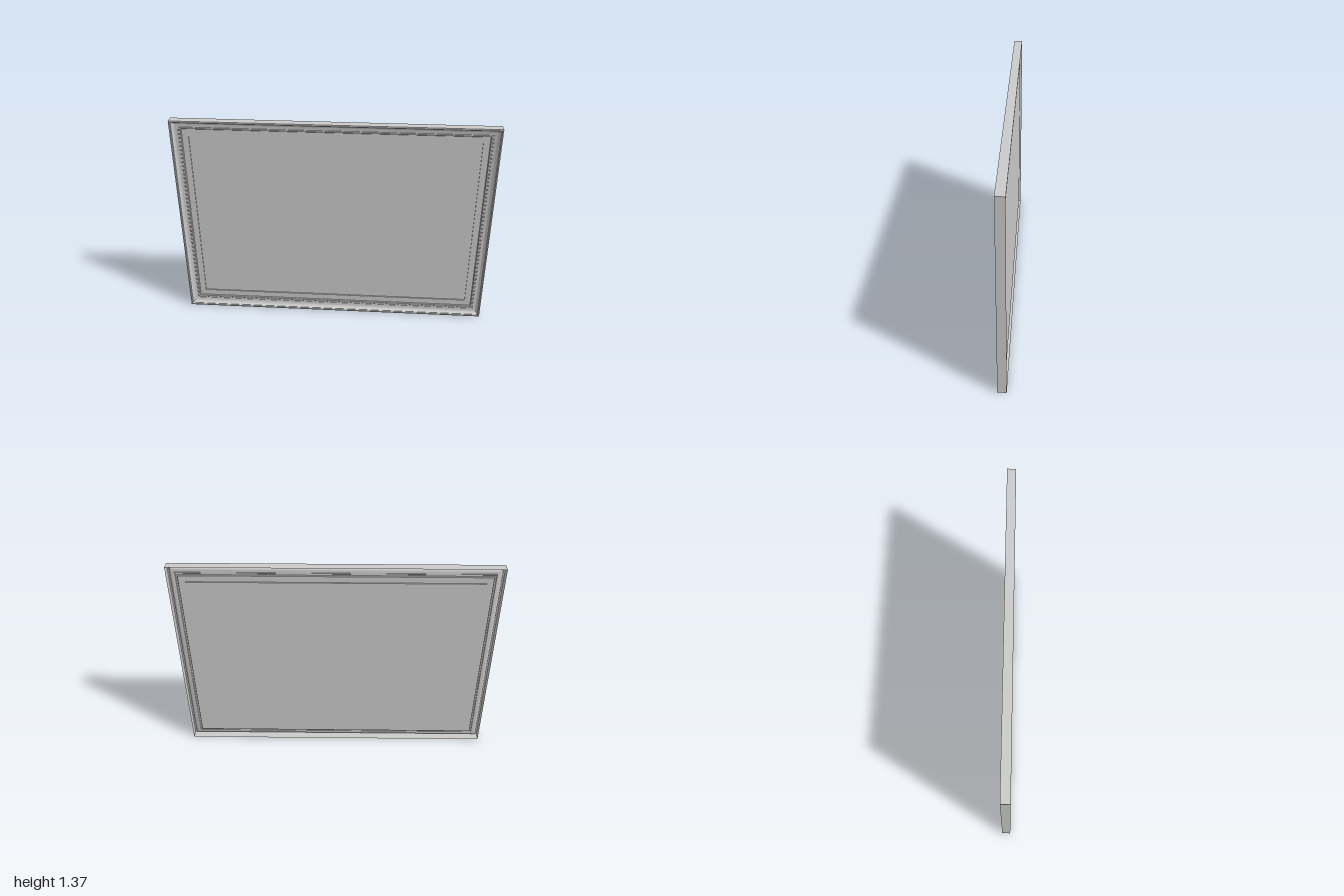
import * as THREE from 'three';
import { toCreasedNormals } from 'three/addons/utils/BufferGeometryUtils.js';

const W = 2, H = 1.37, D = 0.0275;
const material = new THREE.MeshStandardMaterial({ color: 0xcccccc, side: THREE.DoubleSide });

// Sweeps a [inset, z] profile round the rectangle with mitred corners.
function sweepProfile(profile) {
  const corners = [[-1, -1], [1, -1], [1, 1], [-1, 1]];
  const at = ([sx, sy], [inset, z]) => [sx * (W / 2 - inset), H / 2 + sy * (H / 2 - inset), z];
  const positions = [];
  for (let side = 0; side < 4; side++) {
    const a = corners[side], b = corners[(side + 1) % 4];
    for (let i = 0; i < profile.length - 1; i++) {
      const p = profile[i], q = profile[i + 1];
      positions.push(...at(a, p), ...at(b, p), ...at(b, q));
      positions.push(...at(a, p), ...at(b, q), ...at(a, q));
    }
  }
  const geometry = new THREE.BufferGeometry();
  geometry.setAttribute('position', new THREE.Float32BufferAttribute(positions, 3));
  return toCreasedNormals(geometry, 0.6);
}

// Quarter-ellipse hollow, steep at the outer end and flat at the inner end.
function cove(x0, z0, x1, z1, steps) {
  const points = [];
  for (let i = 0; i <= steps; i++) {
    const t = (i / steps) * Math.PI / 2;
    points.push([x1 - (x1 - x0) * Math.cos(t), z0 + (z1 - z0) * Math.sin(t)]);
  }
  return points;
}

export function createModel() {
  const group = new THREE.Group();
  const add = (name, geometry) => {
    const mesh = new THREE.Mesh(geometry, material);
    mesh.name = name;
    group.add(mesh);
    return mesh;
  };

  // Hollow-backed moulding: outer wall, lip, cove, inner bead
  add('frameMoulding', sweepProfile([
    [0, -D], [0, D], [0.007, D], [0.009, 0.022], [0.012, 0.022],
    ...cove(0.012, 0.021, 0.045, -0.002, 10),
    [0.045, -0.005], [0.05, -0.005], [0.052, -0.003], [0.06, -0.003],
    [0.063, -0.006], [0.064, -0.012],
  ]));

  // Flat border with a shallow step down to the panel
  add('innerBorder', sweepProfile([[0.064, -0.012], [0.104, -0.012], [0.104, -0.019]]));

  // Centre panel
  const panel = add('panel', new THREE.PlaneGeometry(W - 0.208, H - 0.208));
  panel.position.set(0, H / 2, -0.019);

  return group;
}
